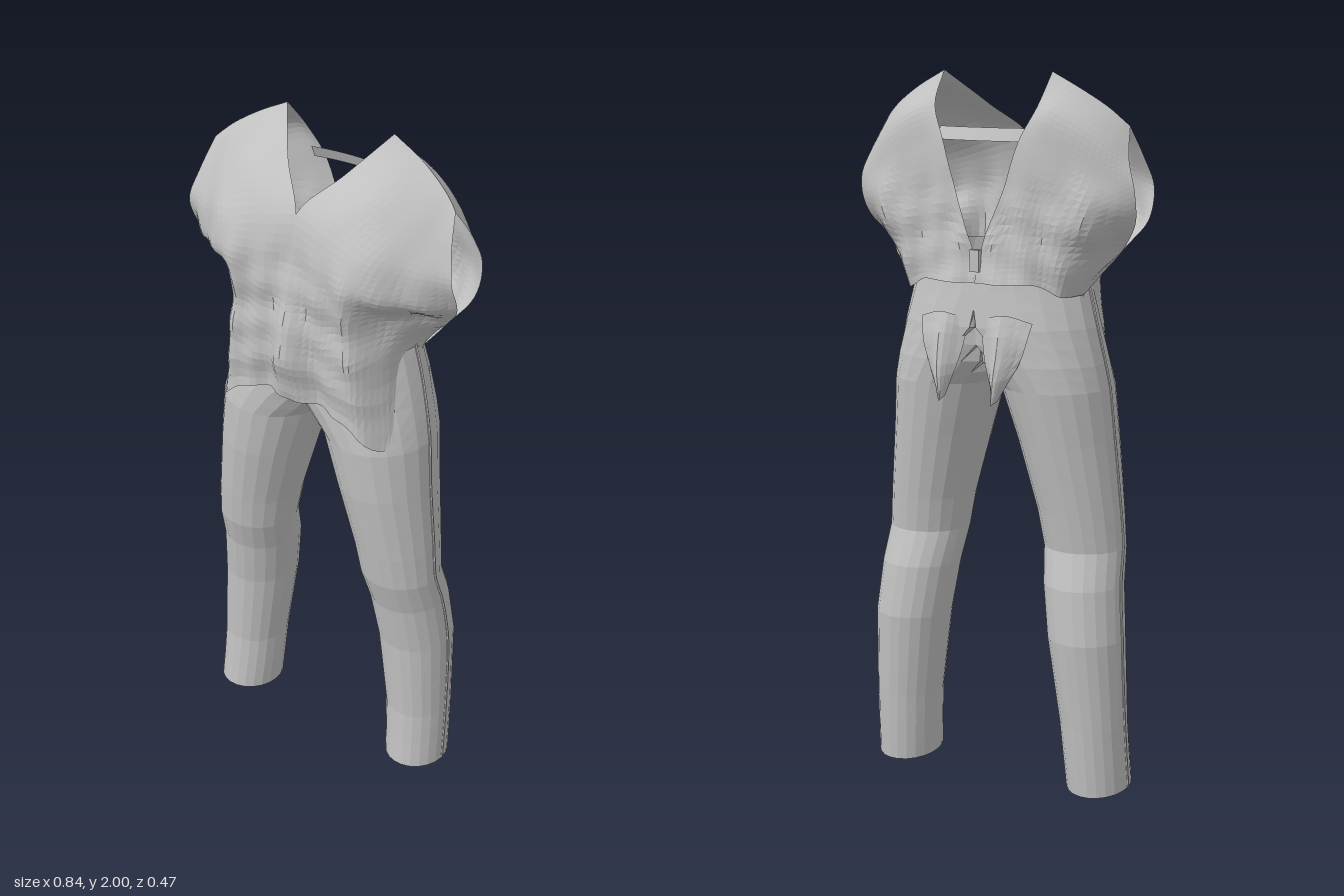
import * as THREE from 'three';

const cloth = new THREE.MeshStandardMaterial({ color: 0xc0c0c0, side: THREE.DoubleSide, flatShading: true });
cloth.name = 'light grey cloth';

// Skin a grid of points, leaving out faces that lie in the hidden centre plane
function skin(rows, name, side = 1) {
  const pos = [], index = [], n = rows[0].length;
  rows.forEach(row => row.forEach(p => pos.push(p.x * side, p.y, p.z)));
  for (let r = 0; r < rows.length - 1; r++) {
    for (let c = 0; c < n - 1; c++) {
      const corners = [rows[r][c], rows[r][c + 1], rows[r + 1][c], rows[r + 1][c + 1]];
      if (corners.every(p => Math.abs(p.x) < 1e-6)) continue;
      const a = r * n + c, b = a + 1, d = a + n, e = d + 1;
      if (side > 0) index.push(a, d, b, b, d, e);
      else index.push(a, b, d, b, e, d);
    }
  }
  const g = new THREE.BufferGeometry();
  g.setAttribute('position', new THREE.Float32BufferAttribute(pos, 3));
  g.setIndex(index);
  g.computeVertexNormals();
  const mesh = new THREE.Mesh(g, cloth);
  mesh.name = name;
  return mesh;
}

const curve = pts => new THREE.CatmullRomCurve3(pts);
const vec = p => new THREE.Vector3(...p);

// Smooth a small net of control points into a cloth panel with soft folds
function panel(net, nu, nv, fold) {
  const across = net.map(row => curve(row.map(vec)));
  const rows = Array.from({ length: nv + 1 }, () => []);
  for (let i = 0; i <= nu; i++) {
    const down = curve(across.map(c => c.getPoint(i / nu)));
    for (let j = 0; j <= nv; j++) {
      const p = down.getPoint(j / nv);
      p.x = Math.max(0, p.x);
      const amount = fold * THREE.MathUtils.smoothstep(1.8 - p.y, 0, 0.25);
      p.z += amount * Math.sin(p.x * 70 + p.y * 9) + amount * 0.5 * Math.sin(p.y * 55 + p.x * 20);
      rows[j].push(p);
    }
  }
  return rows;
}

// Shoulder seam, shared by the front and back of the blouse
const shoulder = [[0.165, 2, -0.04], [0.25, 1.955, -0.035], [0.32, 1.91, -0.02], [0.355, 1.88, -0.01], [0.375, 1.86, 0]];

const frontNet = [
  shoulder,
  [[0.085, 1.905, 0.07], [0.19, 1.88, 0.1], [0.28, 1.84, 0.085], [0.35, 1.8, 0.06], [0.395, 1.78, 0.045]],
  [[0, 1.81, 0.155], [0.12, 1.78, 0.175], [0.22, 1.75, 0.18], [0.32, 1.72, 0.125], [0.415, 1.7, 0.07]],
  [[0, 1.65, 0.185], [0.11, 1.65, 0.2], [0.19, 1.66, 0.21], [0.3, 1.63, 0.14], [0.415, 1.61, 0.04]],
  [[0, 1.53, 0.21], [0.1, 1.53, 0.19], [0.17, 1.55, 0.195], [0.26, 1.55, 0.08], [0.36, 1.53, -0.01]],
  [[0, 1.42, 0.237], [0.09, 1.4, 0.19], [0.18, 1.42, 0.2], [0.24, 1.44, 0.11], [0.265, 1.41, -0.05]],
  [[0, 1.27, 0.2], [0.09, 1.27, 0.175], [0.18, 1.24, 0.19], [0.265, 1.17, 0.135], [0.275, 1.28, 0.07]],
];

const backNet = [
  shoulder,
  [[0.155, 1.91, -0.11], [0.2, 1.9, -0.12], [0.28, 1.86, -0.11], [0.35, 1.81, -0.085], [0.395, 1.78, -0.05]],
  [[0.115, 1.82, -0.14], [0.17, 1.8, -0.14], [0.25, 1.77, -0.13], [0.34, 1.73, -0.11], [0.42, 1.7, -0.07]],
  [[0.07, 1.68, -0.15], [0.13, 1.67, -0.15], [0.2, 1.65, -0.14], [0.31, 1.63, -0.14], [0.415, 1.61, -0.045]],
  [[0.01, 1.52, -0.165], [0.1, 1.53, -0.162], [0.18, 1.53, -0.145], [0.27, 1.53, -0.125], [0.36, 1.53, -0.01]],
  [[0, 1.44, -0.175], [0.1, 1.44, -0.18], [0.17, 1.44, -0.15], [0.23, 1.41, -0.12], [0.265, 1.41, -0.05]],
];

// Pointed tail hanging over the seat
const tailNet = [
  [[0.02, 1.34, -0.175], [0.09, 1.36, -0.19], [0.17, 1.34, -0.16]],
  [[0.035, 1.25, -0.19], [0.09, 1.25, -0.22], [0.15, 1.25, -0.185]],
  [[0.075, 1.13, -0.21], [0.08, 1.12, -0.235], [0.09, 1.13, -0.21]],
];

// Trouser sections: height, inner x, outer x, front z, back z
const sections = [
  [0, 0.22, 0.4, 0.095, -0.115], [0.2, 0.205, 0.395, 0.075, -0.13],
  [0.45, 0.17, 0.388, 0.08, -0.15], [0.6, 0.148, 0.374, 0.1, -0.135],
  [0.7, 0.133, 0.366, 0.128, -0.102], [0.8, 0.115, 0.358, 0.14, -0.115],
  [1, 0.06, 0.338, 0.163, -0.145], [1.15, 0.012, 0.325, 0.17, -0.168],
  [1.22, -0.06, 0.312, 0.168, -0.178], [1.32, -0.2, 0.29, 0.165, -0.187],
  [1.42, -0.26, 0.265, 0.155, -0.175], [1.53, -0.22, 0.225, 0.14, -0.16],
];

function section(t) {
  const f = t * (sections.length - 1), i = Math.min(Math.floor(f), sections.length - 2);
  return sections[i].map((v, k) => THREE.MathUtils.lerp(v, sections[i + 1][k], f - i));
}

function trouserRows(sides, steps) {
  return Array.from({ length: steps + 1 }, (_, j) => {
    const [y, xin, xout, zf, zb] = section(j / steps);
    return Array.from({ length: sides + 1 }, (_, i) => {
      const a = i / sides * Math.PI * 2;
      const x = (xin + xout) / 2 + (xout - xin) / 2 * Math.cos(a);
      const lift = y === 0 ? 0.01 + 0.01 * Math.sin(a) : 0;
      return new THREE.Vector3(Math.max(0, x), y + lift, (zf + zb) / 2 + (zf - zb) / 2 * Math.sin(a));
    });
  });
}

export function createModel() {
  const model = new THREE.Group();
  const blouse = new THREE.Group();
  blouse.name = 'blouse';
  const trousers = new THREE.Group();
  trousers.name = 'trousers';
  model.add(blouse, trousers);

  const front = panel(frontNet, 24, 36, 0.006);
  const back = panel(backNet, 20, 30, 0.005);
  const tail = panel(tailNet, 8, 8, 0.003);
  const leg = trouserRows(22, 22);
  // Outer seam follows the outermost point of every section
  const seamPath = curve(sections.map(([y, , xout, zf, zb]) => new THREE.Vector3(xout - 0.001, y + 0.012, (zf + zb) / 2)));

  for (const side of [1, -1]) {
    const prefix = side > 0 ? 'left' : 'right';
    blouse.add(skin(front, prefix + 'BlouseFront', side));
    blouse.add(skin(back, prefix + 'BlouseBack', side));
    blouse.add(skin(tail, prefix + 'BackTail', side));
    trousers.add(skin(leg, prefix + 'TrouserLeg', side));

    const seam = new THREE.Mesh(new THREE.TubeGeometry(seamPath, 40, 0.004, 5), cloth);
    seam.name = prefix + 'SideSeam';
    seam.scale.x = side;
    trousers.add(seam);
  }

  // Narrow band joining the back panels at the neck
  const band = [1.853, 1.818].map(y => Array.from({ length: 17 }, (_, i) => {
    const k = i / 8 - 1;
    return new THREE.Vector3(k * 0.14, y, -0.142 + 0.018 * k * k + (y > 1.83 ? 0.015 : 0));
  }));
  blouse.add(skin(band, 'neckBand'));

  // Loop at the back of the waist
  const loop = new THREE.Mesh(new THREE.BoxGeometry(0.028, 0.06, 0.02), cloth);
  loop.name = 'beltLoop';
  loop.position.set(0, 1.5, -0.165);
  trousers.add(loop);

  return model;
}
